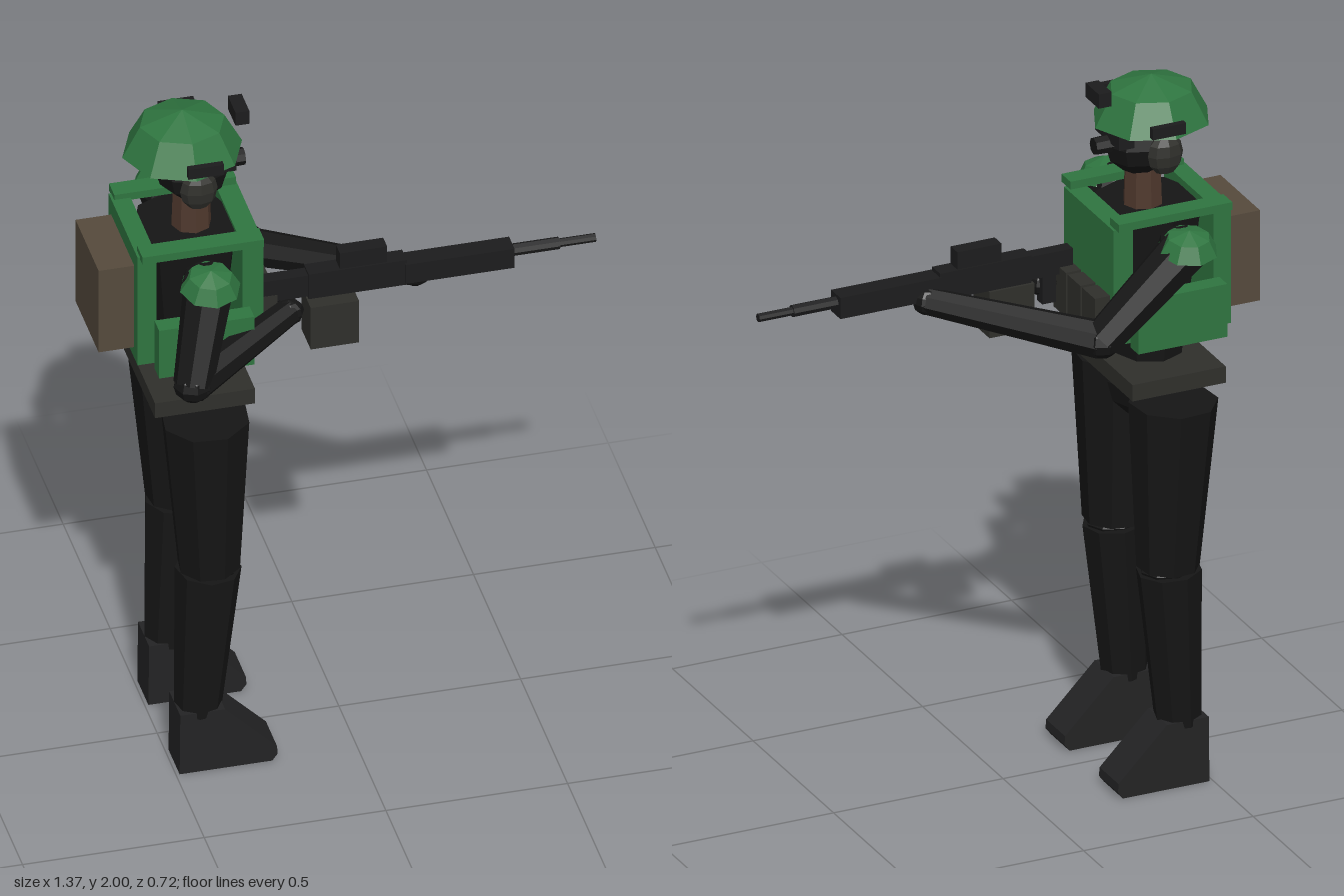
import * as THREE from 'three';

const ZC = -0.025; // body centre line; the figure faces +x
const mat = (color) => new THREE.MeshStandardMaterial({ color, flatShading: true, side: THREE.DoubleSide });
const GREEN = mat(0x2f7540), BLACK = mat(0x151515), GREY = mat(0x2f2f2b), DARK = mat(0x1c1c1d),
  BOOT = mat(0x232324), BROWN = mat(0x554a3c), SKIN = mat(0x4f382d);
const V = (x, y, z) => new THREE.Vector3(x, y, z);

export function createModel() {
  const root = new THREE.Group();
  root.name = 'soldier';

  const add = (name, geo, material) => {
    const m = new THREE.Mesh(geo, material);
    m.name = name;
    root.add(m);
    return m;
  };
  // box from its limits on each axis
  const box = (name, material, x0, x1, y0, y1, z0, z1) => {
    const m = add(name, new THREE.BoxGeometry(x1 - x0, y1 - y0, z1 - z0), material);
    m.position.set((x0 + x1) / 2, (y0 + y1) / 2, (z0 + z1) / 2);
    return m;
  };
  // tapered limb from a to b
  const limb = (name, material, a, b, ra, rb, sides = 8) => {
    const d = b.clone().sub(a);
    const m = add(name, new THREE.CylinderGeometry(rb, ra, d.length(), sides), material);
    m.position.copy(a).addScaledVector(d, 0.5);
    m.quaternion.setFromUnitVectors(V(0, 1, 0), d.normalize());
    return m;
  };
  const ball = (name, material, c, rx, ry, rz, ws = 8, hs = 6) => {
    const m = add(name, new THREE.SphereGeometry(1, ws, hs), material);
    m.position.copy(c);
    m.scale.set(rx, ry, rz);
    return m;
  };
  const dome = (name, material, c, rx, ry, rz) => {
    const m = add(name, new THREE.SphereGeometry(1, 8, 2, 0, Math.PI * 2, 0, Math.PI / 2), material);
    m.position.copy(c);
    m.scale.set(rx, ry, rz);
    return m;
  };

  // Head and helmet
  ball('head', BLACK, V(-0.395, 1.815, ZC), 0.105, 0.095, 0.09);
  dome('helmet', GREEN, V(-0.425, 1.872, ZC), 0.165, 0.128, 0.157);
  box('visor', DARK, -0.34, -0.295, 1.83, 1.872, ZC - 0.075, ZC + 0.075);
  limb('breathingFilter', BLACK, V(-0.31, 1.82, ZC), V(-0.255, 1.82, ZC), 0.026, 0.024);
  box('helmetMount', DARK, -0.288, -0.25, 1.95, 1.992, -0.068, 0.014);
  limb('neck', SKIN, V(-0.4, 1.62, ZC), V(-0.4, 1.76, ZC), 0.055, 0.05);

  // Torso, hips and belt
  const torso = limb('torso', BLACK, V(-0.415, 1.17, ZC), V(-0.415, 1.63, ZC), 0.09, 0.145);
  torso.scale.z = 1.08;
  ball('hips', BLACK, V(-0.415, 1.12, ZC), 0.12, 0.12, 0.13);
  box('belt', GREY, -0.55, -0.275, 1.15, 1.198, -0.225, 0.17);

  // Vest, pouches and backpack
  box('frontPlate', GREEN, -0.298, -0.24, 1.3, 1.64, -0.18, 0.128);
  box('backPlate', GREEN, -0.587, -0.535, 1.3, 1.65, -0.18, 0.128);
  for (let i = -1; i <= 1; i++) {
    const z = ZC + i * 0.09 - 0.005;
    box('chestPouch', GREY, -0.245, -0.195, 1.31, 1.44, z - 0.039, z + 0.039);
  }
  box('backpack', BROWN, -0.685, -0.585, 1.335, 1.6, -0.153, 0.092);

  // Paired parts
  for (const s of [1, -1]) {
    const z = (d) => ZC + s * d;
    const pair = (name, m, x0, x1, y0, y1, d0, d1) =>
      box(name, m, x0, x1, y0, y1, Math.min(z(d0), z(d1)), Math.max(z(d0), z(d1)));

    ball('earCup', GREY, V(-0.41, 1.818, z(0.12)), 0.052, 0.06, 0.03);
    pair('helmetRail', DARK, -0.45, -0.352, 1.888, 1.92, 0.147, 0.165);
    pair('shoulderStrap', GREEN, -0.58, -0.245, 1.643, 1.666, 0.122, 0.178);
    pair('sidePanel', GREEN, -0.545, -0.283, 1.295, 1.45, 0.17, 0.22);

    ball('shoulder', BLACK, V(-0.413, 1.585, z(0.225)), 0.075, 0.062, 0.07);
    dome('shoulderPad', GREEN, V(-0.413, 1.59, z(0.252)), 0.083, 0.062, 0.083).rotation.x = s * 0.15;

    // Legs
    const hip = V(-0.407, 1.118, z(0.175)), knee = V(-0.395, 0.632, z(0.168));
    const ankle = V(-0.425, 0.17, z(0.166));
    limb('thigh', BLACK, hip, knee, 0.122, 0.086);
    limb('shin', BLACK, V(-0.397, 0.622, z(0.168)), ankle, 0.09, 0.064);
    ball('knee', BLACK, V(-0.393, 0.625, z(0.168)), 0.078, 0.04, 0.07);

    // Boot: side profile extruded across its width
    const side = new THREE.Shape([[-0.49, 0], [-0.235, 0], [-0.22, 0.02], [-0.222, 0.045],
      [-0.365, 0.19], [-0.488, 0.19]].map(([x, y]) => new THREE.Vector2(x, y)));
    const boot = add('boot', new THREE.ExtrudeGeometry(side, { depth: 0.118, bevelEnabled: false }), BOOT);
    boot.position.z = z(0.166) - 0.059;
  }

  // Arms: right hand on the grip, left hand under the handguard
  const arm = (shoulder, elbow, hand) => {
    limb('upperArm', BLACK, shoulder, elbow, 0.068, 0.054);
    ball('elbow', BLACK, elbow, 0.054, 0.05, 0.054);
    limb('forearm', BLACK, elbow, hand, 0.053, 0.038);
    ball('hand', BLACK, hand, 0.042, 0.038, 0.038);
  };
  arm(V(-0.412, 1.59, 0.21), V(-0.48, 1.34, 0.305), V(-0.165, 1.385, 0.105));
  arm(V(-0.412, 1.59, -0.265), V(-0.175, 1.36, -0.245), V(0.195, 1.42, 0.06));

  // Rifle
  box('receiver', DARK, -0.11, 0.16, 1.415, 1.495, 0.054, 0.104);
  box('stock', DARK, -0.235, -0.1, 1.42, 1.488, 0.06, 0.098);
  box('handguard', DARK, 0.155, 0.455, 1.422, 1.484, 0.052, 0.11);
  limb('barrel', DARK, V(0.45, 1.46, 0.08), V(0.585, 1.46, 0.08), 0.017, 0.017);
  limb('muzzle', DARK, V(0.58, 1.46, 0.08), V(0.685, 1.46, 0.08), 0.012, 0.012);
  box('sight', DARK, -0.023, 0.107, 1.49, 1.546, 0.058, 0.1);
  box('magazine', GREY, -0.115, 0.018, 1.28, 1.415, 0.046, 0.145);
  box('pistolGrip', DARK, -0.185, -0.145, 1.34, 1.43, 0.062, 0.096);

  return root;
}
